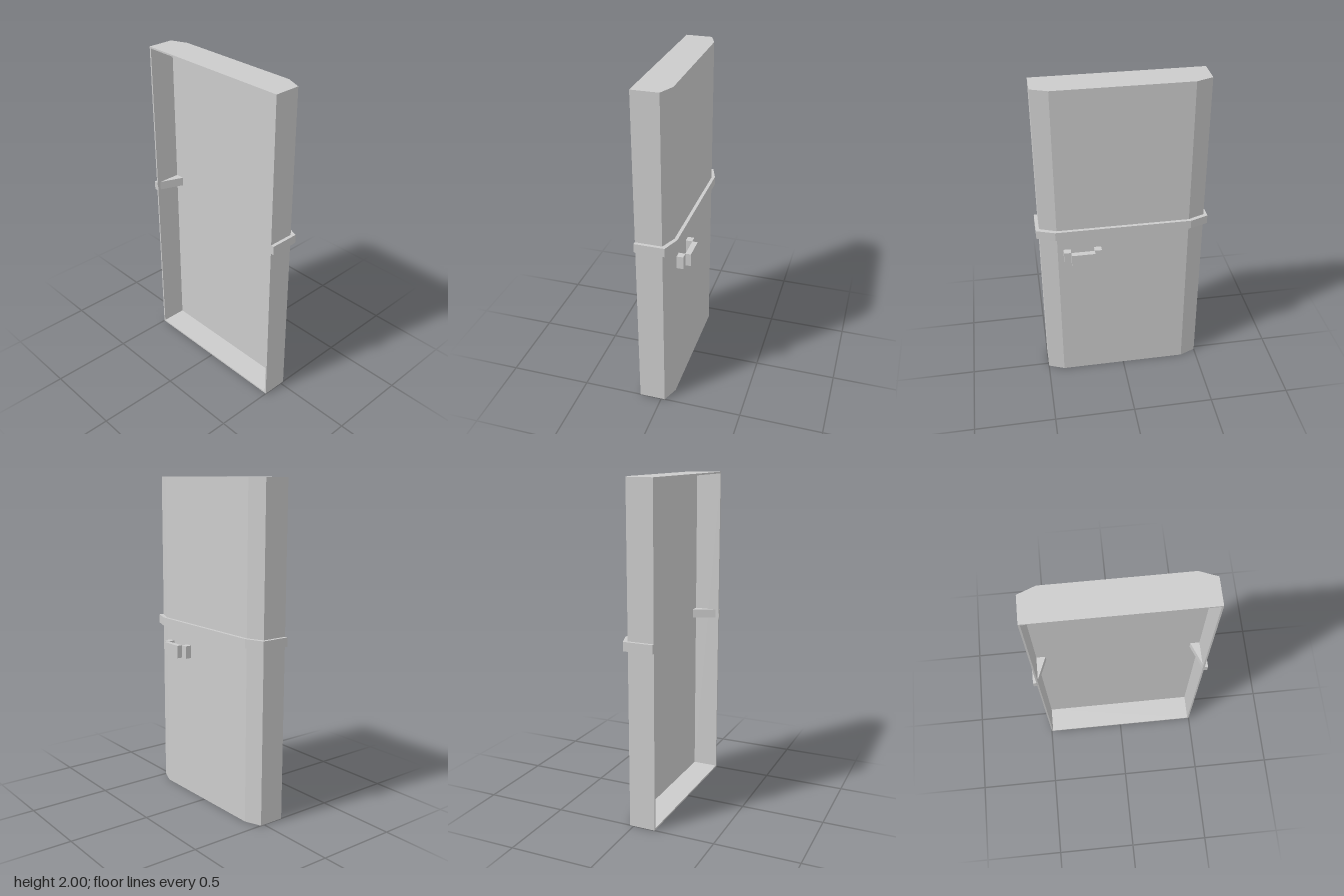
import * as THREE from 'three';

const material = new THREE.MeshStandardMaterial({ color: 0xcccccc, flatShading: true });

const BACK = -0.136, STEP = 0.023, FACE = 0.063; // x of open rim, recess floor and front face
const HALF = 0.5, HEIGHT = 2, WALL = 0.01;

function add(parent, name, geometry) {
  const mesh = new THREE.Mesh(geometry, material);
  mesh.name = name;
  parent.add(mesh);
  return mesh;
}

// Extrudes a plan outline of [x, z] points upward from y0 to y1
function extrudePlan(points, y0, y1) {
  const shape = new THREE.Shape(points.map(([x, z]) => new THREE.Vector2(x, -z)));
  const geometry = new THREE.ExtrudeGeometry(shape, { depth: y1 - y0, bevelEnabled: false });
  return geometry.rotateX(-Math.PI / 2).translate(0, y0, 0);
}

// Completes an outline by mirroring the +z half across z = 0
const mirrored = (half) => [...half, ...half.map(([x, z]) => [x, -z]).reverse()];

function box(x0, x1, y0, y1, z0, z1) {
  return new THREE.BoxGeometry(x1 - x0, y1 - y0, z1 - z0)
    .translate((x0 + x1) / 2, (y0 + y1) / 2, (z0 + z1) / 2);
}

export function createModel() {
  const group = new THREE.Group();
  group.name = 'door';

  // Front panel with chamfered vertical edges
  add(group, 'panel', extrudePlan(mirrored([[STEP, HALF], [FACE, 0.4]]), 0, HEIGHT));

  // Thin walls around the open recess behind the panel
  const frame = new THREE.Shape();
  frame.moveTo(-HALF, 0).lineTo(HALF, 0).lineTo(HALF, HEIGHT).lineTo(-HALF, HEIGHT).closePath();
  const hole = new THREE.Path();
  const a = HALF - WALL, b = HEIGHT - WALL;
  hole.moveTo(-a, WALL).lineTo(-a, b).lineTo(a, b).lineTo(a, WALL).closePath();
  frame.holes.push(hole);
  const walls = new THREE.ExtrudeGeometry(frame, { depth: STEP - BACK, bevelEnabled: false });
  add(group, 'recessWalls', walls.rotateY(Math.PI / 2).translate(BACK, 0, 0));

  // Raised band wrapping the front and sides, its ends wedging into the recess
  const outer = mirrored([[BACK - 0.001, 0.52], [0.043, 0.52], [0.083, 0.41]]);
  const inner = mirrored([[BACK - 0.001, 0.498], [STEP, 0.435], [0.05, 0.38]]);
  // Follow the outside round, then return along the inside
  const band = [outer[0], outer[1], outer[2], outer[3], outer[4], outer[5],
    ...inner.slice().reverse()];
  add(group, 'band', extrudePlan(band, 1.06, 1.114));

  // Handle: a grip bar on two mounts
  const handle = new THREE.Group();
  handle.name = 'handle';
  for (const z of [0.137, 0.322]) {
    add(handle, 'handleMount', box(FACE, 0.103, 0.896, 0.975, z, z + 0.043));
  }
  add(handle, 'handleGrip', box(0.103, 0.136, 0.896, 0.975, 0.18, 0.322));
  group.add(handle);

  return group;
}
